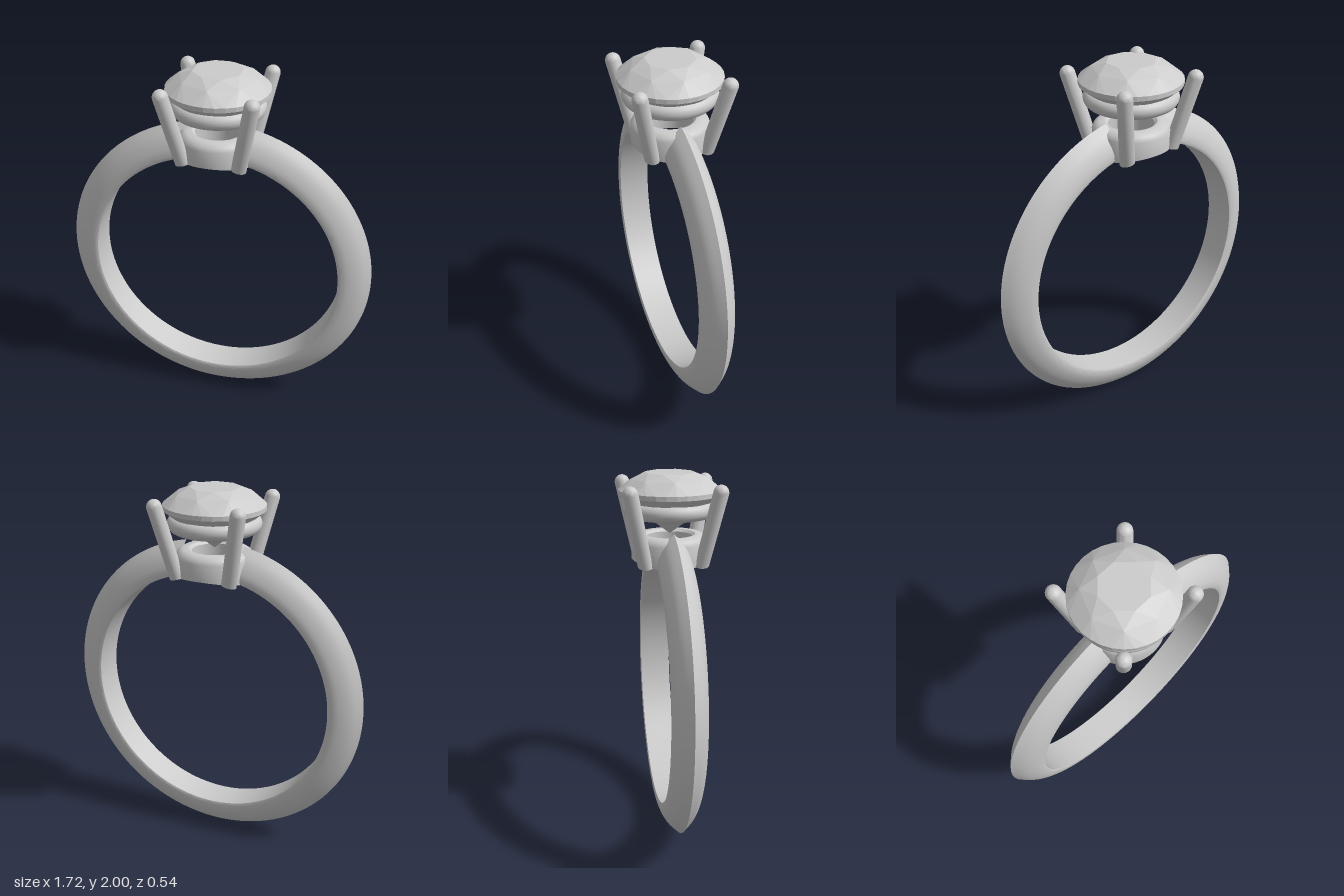
import * as THREE from 'three';
import { toCreasedNormals, mergeVertices } from 'three/addons/utils/BufferGeometryUtils.js';
import { ConvexGeometry } from 'three/addons/geometries/ConvexGeometry.js';

const CENTRE = 0.86;   // height of the band's axis
const BORE = 0.69;     // finger hole radius
const boreY = x => CENTRE + Math.sqrt(BORE * BORE - x * x);
const v2 = (x, y) => new THREE.Vector2(x, y);
const grey = (flatShading = false) => new THREE.MeshStandardMaterial({ color: 0xcccccc, flatShading });

function add(group, name, geometry, material = grey()) {
  const mesh = new THREE.Mesh(geometry, material);
  mesh.name = name;
  group.add(mesh);
  return mesh;
}

// Band: a ridged section swept round the finger, open at the top between x = -END and END
function bandGeometry() {
  const END = 0.165, STEPS = 144;
  const flank = new THREE.SplineCurve([
    v2(0.7, 0.091), v2(0.735, 0.088), v2(0.78, 0.07), v2(0.82, 0.043), v2(0.86, 0),
  ]).getPoints(12);
  const half = [v2(BORE, 0.087), ...flank];
  const section = [...half, ...half.slice(0, -1).reverse().map(p => v2(p.x, -p.y))];
  const n = section.length, pos = [], index = [];
  for (let i = 0; i <= STEPS; i++) {
    for (const p of section) {
      const start = Math.asin(END / p.x);
      const a = start + (2 * Math.PI - 2 * start) * i / STEPS;
      pos.push(p.x * Math.sin(a), CENTRE + p.x * Math.cos(a), p.y);
    }
  }
  for (let i = 0; i < STEPS; i++) {
    for (let j = 0; j < n; j++) {
      const a = i * n + j, b = i * n + (j + 1) % n;
      index.push(a, b, a + n, b, b + n, a + n);
    }
  }
  // flat ends
  const last = STEPS * n;
  for (const [a, b, c] of THREE.ShapeUtils.triangulateShape(section, [])) {
    index.push(a, b, c, last + a, last + c, last + b);
  }
  const geo = new THREE.BufferGeometry();
  geo.setAttribute('position', new THREE.Float32BufferAttribute(pos, 3));
  geo.setIndex(index);
  // make the winding face outwards
  const p = i => new THREE.Vector3().fromArray(pos, i * 3);
  const k = (STEPS / 2) * n + 6;
  const normal = p(k + 1).sub(p(k)).cross(p(k + n).sub(p(k)));
  if (normal.z < 0) {
    for (let i = 0; i < STEPS * n * 6; i += 3) {
      [index[i + 1], index[i + 2]] = [index[i + 2], index[i + 1]];
    }
    geo.setIndex(index);
  }
  return toCreasedNormals(geo, 0.7);
}

// Collar: a turned tube whose underside follows the finger hole
function collarGeometry() {
  const profile = [
    v2(0.12, 1.5), v2(0.205, 1.5), v2(0.205, 1.64), v2(0.195, 1.662),
    v2(0.17, 1.678), v2(0.135, 1.678), v2(0.12, 1.665), v2(0.12, 1.5),
  ];
  const geo = new THREE.LatheGeometry(profile, 64);
  const pos = geo.attributes.position;
  for (let i = 0; i < pos.count; i++) {
    if (pos.getY(i) < 1.51) pos.setY(i, boreY(pos.getX(i)));
  }
  geo.deleteAttribute('normal');
  geo.deleteAttribute('uv');
  return toCreasedNormals(mergeVertices(geo), 0.6);
}

// Prong: a leaning round wire with a domed tip, its foot trimmed to the finger hole
function prongGeometry(sx, sz) {
  const foot = new THREE.Vector3(0.148 * sx, 1.54, 0.148 * sz);
  const tip = new THREE.Vector3(0.229 * sx, 1.922, 0.229 * sz);
  const axis = tip.clone().sub(foot);
  const length = axis.length(), r = 0.04;
  const profile = [v2(0, 0), v2(r, 0)];
  for (let i = 0; i <= 8; i++) {
    const a = i / 8 * Math.PI / 2;
    profile.push(v2(r * Math.cos(a), length + r * Math.sin(a)));
  }
  const geo = new THREE.LatheGeometry(profile, 24);
  const isFoot = Array.from({ length: geo.attributes.position.count },
    (_, i) => geo.attributes.position.getY(i) < 0.001);
  geo.applyQuaternion(new THREE.Quaternion().setFromUnitVectors(
    new THREE.Vector3(0, 1, 0), axis.normalize()));
  geo.translate(foot.x, foot.y, foot.z);
  const pos = geo.attributes.position;
  isFoot.forEach((low, i) => { if (low) pos.setY(i, boreY(pos.getX(i))); });
  geo.deleteAttribute('normal');
  geo.deleteAttribute('uv');
  return toCreasedNormals(mergeVertices(geo), 0.7);
}

// Stone: convex hull of facet corner rings from table to point
function stoneGeometry() {
  const points = [new THREE.Vector3(0, 1.68, 0)];
  const ring = (radius, y, count, turn = 0) => {
    for (let i = 0; i < count; i++) {
      const a = (i + turn) / count * Math.PI * 2;
      points.push(new THREE.Vector3(radius * Math.sin(a), y, radius * Math.cos(a)));
    }
  };
  ring(0.13, 2, 8, 0.5);      // table
  ring(0.205, 1.968, 8);      // crown
  ring(0.27, 1.912, 32);      // girdle top
  ring(0.27, 1.888, 32);      // girdle bottom
  ring(0.135, 1.777, 8, 0.5); // pavilion
  return new ConvexGeometry(points);
}

export function createModel() {
  const model = new THREE.Group();
  model.name = 'solitaireRing';

  add(model, 'band', bandGeometry());
  add(model, 'collar', collarGeometry());

  // Gallery ring under the stone
  const gallery = add(model, 'galleryRing', new THREE.TorusGeometry(0.205, 0.043, 20, 72));
  gallery.rotation.x = Math.PI / 2;
  gallery.position.y = 1.813;

  const prongs = new THREE.Group();
  prongs.name = 'prongs';
  for (const sx of [1, -1]) {
    for (const sz of [1, -1]) {
      add(prongs, `${sz > 0 ? 'front' : 'back'}${sx > 0 ? 'Left' : 'Right'}Prong`, prongGeometry(sx, sz));
    }
  }
  model.add(prongs);

  add(model, 'stone', stoneGeometry(), grey(true));
  return model;
}
